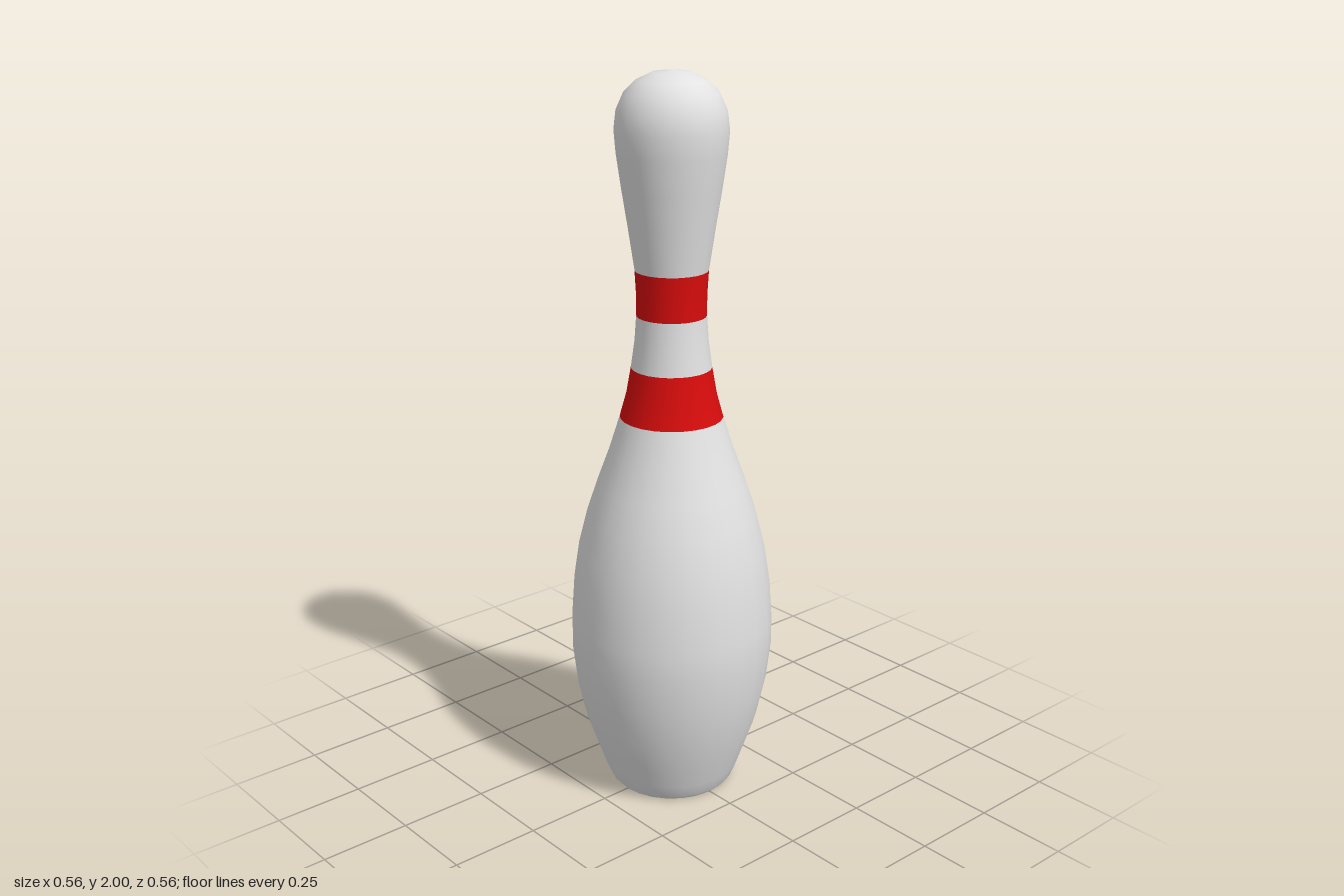
import * as THREE from 'three';

const SIDES = 24;

// radius and height, from foot to crown
const PROFILE = [
  [0.165, 0], [0.176, 0.012], [0.192, 0.05], [0.213, 0.11], [0.244, 0.2],
  [0.268, 0.31], [0.281, 0.42], [0.281, 0.5], [0.273, 0.61], [0.258, 0.71],
  [0.233, 0.81], [0.203, 0.9], [0.17, 0.99], [0.14, 1.085], [0.122, 1.15],
  [0.109, 1.223], [0.099, 1.295], [0.094, 1.365], [0.094, 1.42], [0.098, 1.487],
  [0.115, 1.6], [0.131, 1.7], [0.144, 1.79], [0.149, 1.85], [0.143, 1.9],
  [0.123, 1.944], [0.092, 1.975], [0.05, 1.995], [0, 2],
];

export function createModel() {
  const white = new THREE.MeshStandardMaterial({ color: 0xe2e2e2 });
  white.name = 'white';
  const red = new THREE.MeshStandardMaterial({ color: 0xd80c0c });
  red.name = 'red';

  const pin = new THREE.Group();
  pin.name = 'bowlingPin';

  const add = (name, geometry, material) => {
    const mesh = new THREE.Mesh(geometry, material);
    mesh.name = name;
    pin.add(mesh);
    return mesh;
  };

  // the turned body, cut into bands at the stripe edges
  const bands = [
    ['belly', 0, 1.085, white],
    ['lowerStripe', 1.085, 1.223, red],
    ['neck', 1.223, 1.365, white],
    ['upperStripe', 1.365, 1.487, red],
    ['head', 1.487, 2, white],
  ];
  for (const [name, low, high, material] of bands) {
    const points = PROFILE.filter(([, y]) => y >= low && y <= high)
      .map(([r, y]) => new THREE.Vector2(r, y));
    add(name, new THREE.LatheGeometry(points, SIDES), material);
  }

  // flat foot
  const foot = add('foot', new THREE.CircleGeometry(PROFILE[0][0], SIDES), white);
  foot.rotation.x = Math.PI / 2;

  return pin;
}
